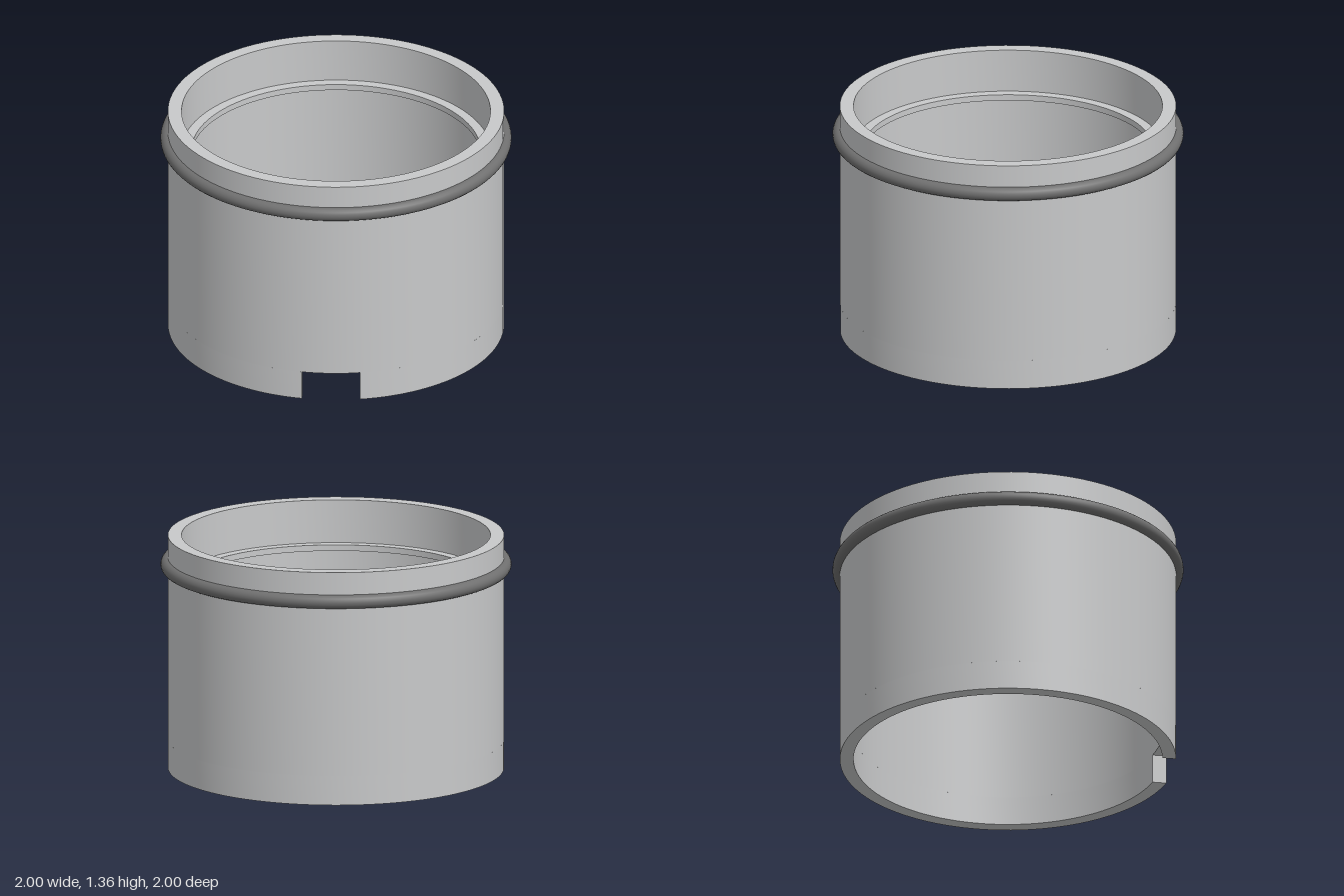
import * as THREE from 'three';
import { toCreasedNormals } from 'three/addons/utils/BufferGeometryUtils.js';

const OUTER = 0.958, INNER = 0.88, LIP = 0.823;   // radii
const HEIGHT = 1.36, NOTCH_H = 0.17, NOTCH_HALF = 0.165;

export function createModel() {
  const body = new THREE.MeshStandardMaterial({ color: 0xc8c9ca });
  body.name = 'light grey';
  const dark = new THREE.MeshStandardMaterial({ color: 0x707070 });
  dark.name = 'dark grey';

  const group = new THREE.Group();
  const add = (name, geometry, material) => {
    const mesh = new THREE.Mesh(geometry, material);
    mesh.name = name;
    group.add(mesh);
    return mesh;
  };

  // Tube wall above the notch, with a thin inner lip below the rim
  const profile = [
    [INNER, NOTCH_H], [OUTER, NOTCH_H], [OUTER, HEIGHT], [INNER, HEIGHT],
    [INNER, 1.11], [LIP, 1.11], [LIP, 1.075], [INNER, 1.075], [INNER, NOTCH_H],
  ].map(([x, y]) => new THREE.Vector2(x, y));
  add('sleeve', toCreasedNormals(new THREE.LatheGeometry(profile, 128), 0.6), body);

  // Lowest band of the wall, open at the front with parallel notch sides
  const front = -Math.PI / 2;
  const aOut = Math.asin(NOTCH_HALF / OUTER), aIn = Math.asin(NOTCH_HALF / INNER);
  const band = new THREE.Shape();
  band.absarc(0, 0, OUTER, front + aOut, front + 2 * Math.PI - aOut, false);
  band.absarc(0, 0, INNER, front + 2 * Math.PI - aIn, front + aIn, true);
  const bandGeometry = new THREE.ExtrudeGeometry(band, {
    depth: NOTCH_H, bevelEnabled: false, curveSegments: 64,
  });
  bandGeometry.rotateX(-Math.PI / 2);
  add('notchedBase', toCreasedNormals(bandGeometry, 0.6), body);

  // Round sealing ring seated around the outside
  const ring = new THREE.TorusGeometry(0.96, 0.04, 20, 128);
  ring.rotateX(Math.PI / 2);
  add('sealRing', ring, dark).position.y = 1.19;

  return group;
}
